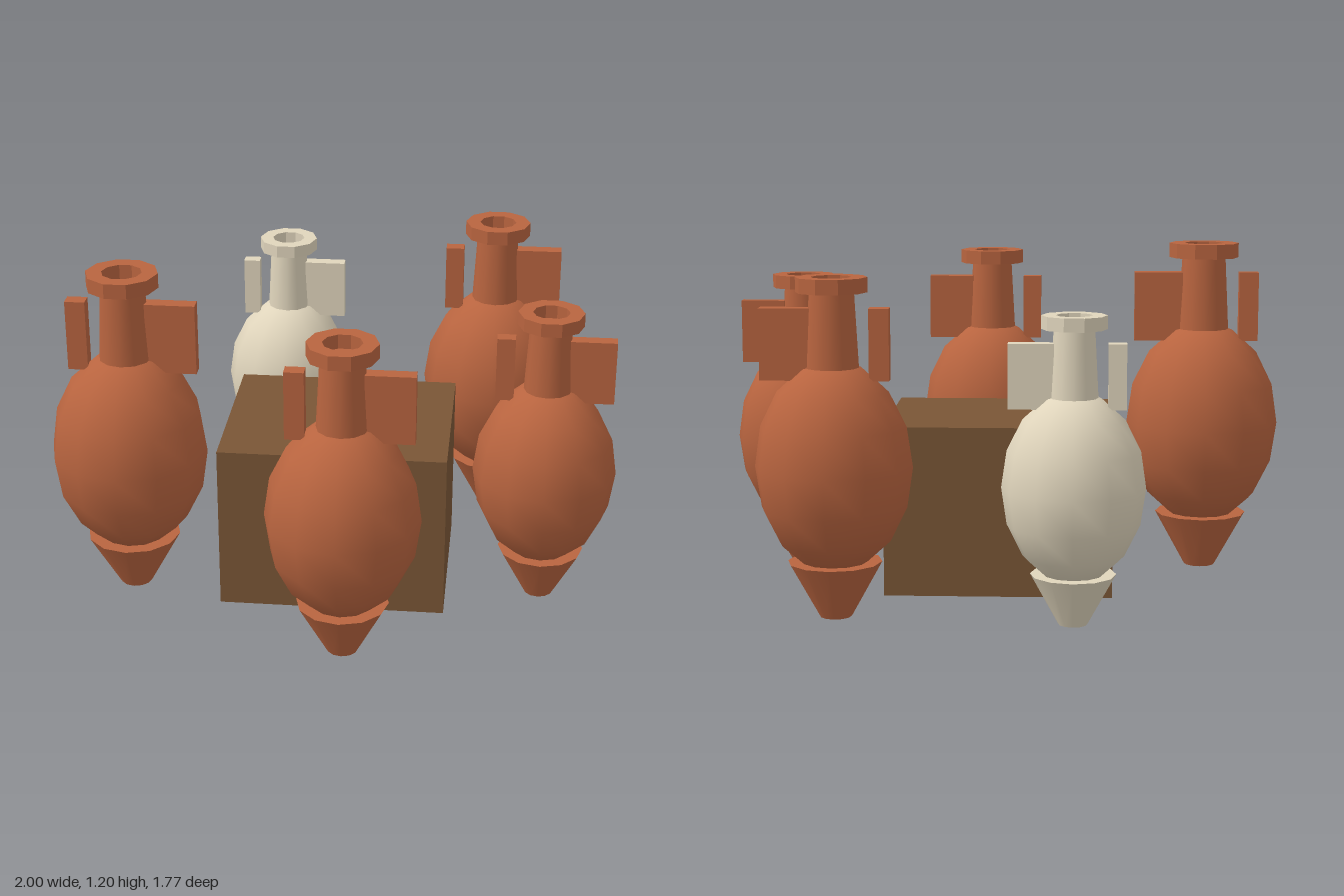
import * as THREE from 'three';

const material = (color) => new THREE.MeshStandardMaterial({ color });

function add(group, name, geometry, mat, x = 0, y = 0, z = 0) {
  const mesh = new THREE.Mesh(geometry, mat);
  mesh.name = name;
  mesh.position.set(x, y, z);
  group.add(mesh);
  return mesh;
}

// Flat ten-sided ring with a hole, extruded upwards from y = 0
function rimGeometry(outer, inner, height) {
  const shape = new THREE.Shape().absarc(0, 0, outer, 0, Math.PI * 2);
  shape.holes.push(new THREE.Path().absarc(0, 0, inner, 0, Math.PI * 2, true));
  return new THREE.ExtrudeGeometry(shape, { depth: height, bevelEnabled: false, curveSegments: 5 })
    .rotateX(-Math.PI / 2);
}

// One jar of unit scale, standing on y = 0
function createJar(mat) {
  const jar = new THREE.Group();
  add(jar, 'foot', new THREE.CylinderGeometry(0.159, 0.054, 0.19, 12), mat, 0, 0.095);
  add(jar, 'body', new THREE.SphereGeometry(0.265, 12, 8).scale(1, 1.35, 1), mat, 0, 0.512);
  add(jar, 'neck', new THREE.CylinderGeometry(0.075, 0.09, 0.28, 12), mat, 0, 0.957);
  add(jar, 'rim', rimGeometry(0.12, 0.067, 0.05), mat, 0, 1.096);
  // Slab handles: a narrow one standing free, a wide one reaching into the neck
  add(jar, 'rightHandle', new THREE.BoxGeometry(0.067, 0.24, 0.05), mat, -0.157, 0.924);
  add(jar, 'leftHandle', new THREE.BoxGeometry(0.167, 0.24, 0.05), mat, 0.157, 0.924);
  return jar;
}

export function createModel() {
  const model = new THREE.Group();
  model.name = 'jarsAroundCrate';
  const clay = material(0xb8643f);
  const pale = material(0xe0d5bc);

  // Central crate
  add(model, 'crate', new THREE.BoxGeometry(0.8, 0.6, 0.667), material(0x7a5636), 0.01, 0.3, 0.017);

  // Jars: x, z, scale, material
  const jars = [
    [-0.722, 0.215, 1.05, clay],
    [0.076, 0.615, 1.0, clay],
    [0.745, 0.15, 0.95, clay],
    [0.544, -0.585, 1.0, clay],
    [-0.256, -0.653, 0.9, pale],
  ];
  jars.forEach(([x, z, s, mat], i) => {
    const jar = createJar(mat);
    jar.name = `jar${i + 1}`;
    jar.position.set(x, 0, z);
    jar.scale.setScalar(s);
    model.add(jar);
  });
  return model;
}
